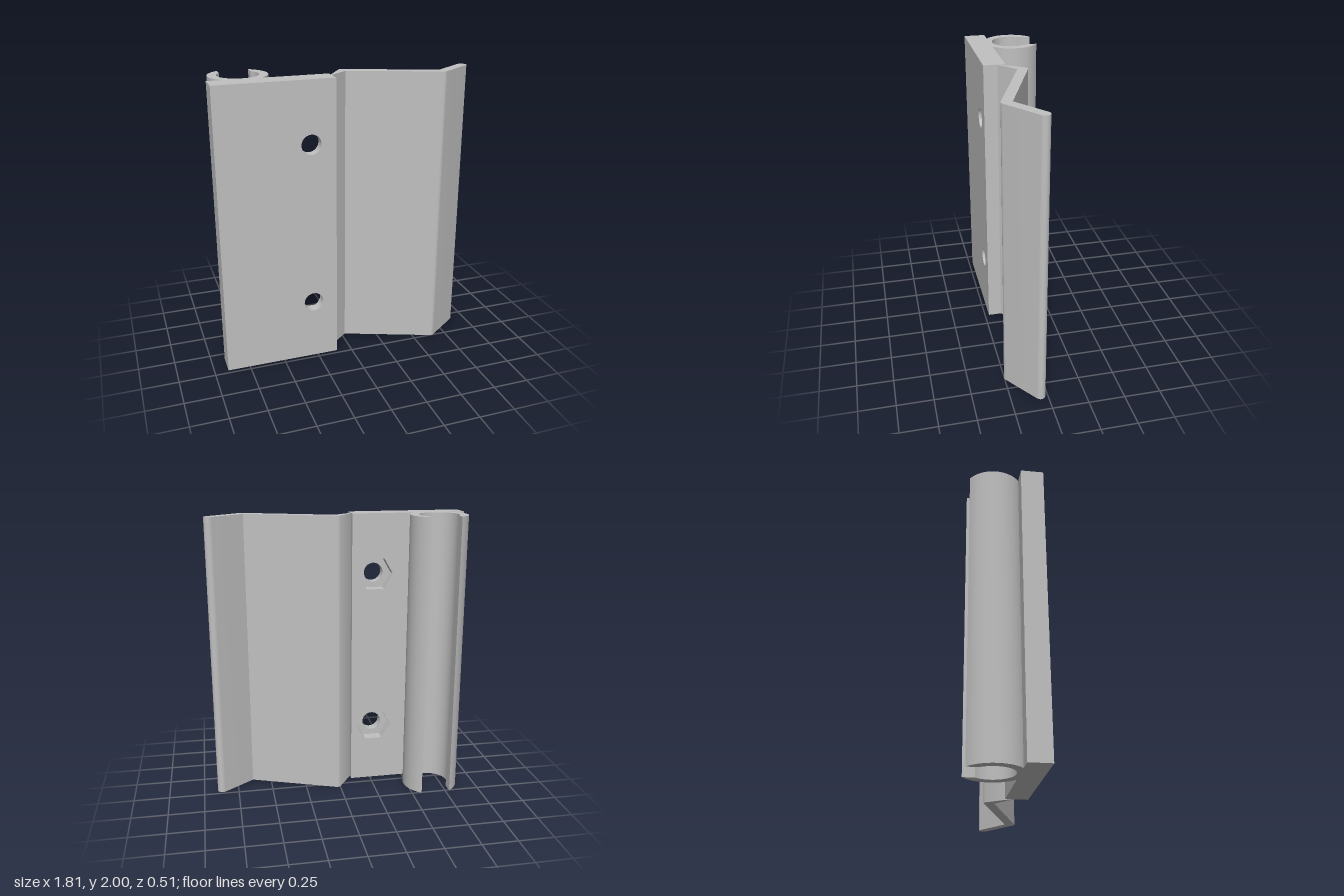
import * as THREE from 'three';
import { toCreasedNormals } from 'three/addons/utils/BufferGeometryUtils.js';

const HEIGHT = 2;
const BACK = 0.07, POCKET = 0.15, FRONT = 0.22; // plate depths along z
const HOLE_X = -0.275, HOLE_YS = [0.43, 1.575];

export function createModel() {
  const model = new THREE.Group();
  model.name = 'mountingBracket';
  const grey = new THREE.MeshStandardMaterial({ color: 0xc0c0c0 });
  grey.name = 'grey';

  const add = (name, geometry) => {
    const mesh = new THREE.Mesh(toCreasedNormals(geometry, 0.5), grey);
    mesh.name = name;
    model.add(mesh);
  };
  // Extrudes a plan outline (x, -z) up to full height
  const addProfile = (name, shape) => {
    const g = new THREE.ExtrudeGeometry(shape, { depth: HEIGHT, bevelEnabled: false, curveSegments: 32 });
    add(name, g.rotateX(-Math.PI / 2));
  };

  // Plate: front layer with round holes, back layer with hexagonal nut pockets
  const addPlateLayer = (name, z0, z1, radius, sides) => {
    const s = new THREE.Shape();
    s.moveTo(-0.905, 0).lineTo(-0.105, 0).lineTo(-0.105, HEIGHT).lineTo(-0.905, HEIGHT).closePath();
    for (const y of HOLE_YS) {
      const pts = [];
      for (let i = 0; i < sides; i++) {
        const a = -i / sides * Math.PI * 2;
        pts.push(new THREE.Vector2(HOLE_X + radius * Math.cos(a), y + radius * Math.sin(a)));
      }
      s.holes.push(new THREE.Path(pts));
    }
    const g = new THREE.ExtrudeGeometry(s, { depth: z1 - z0, bevelEnabled: false });
    add(name, g.translate(0, 0, z0));
  };
  addPlateLayer('plateFrontWithHoles', POCKET, FRONT, 0.068, 40);
  addPlateLayer('plateBackWithNutPockets', BACK, POCKET, 0.125, 6);

  // Open tube clip on the back of the plate
  const cx = -0.675, cy = 0.087, outer = 0.198, inner = 0.138, halfGap = 0.105;
  const ao = Math.acos(halfGap / outer), ai = Math.acos(halfGap / inner);
  const clip = new THREE.Shape();
  clip.absarc(cx, cy, outer, ao, Math.PI - ao, true);
  clip.absarc(cx, cy, inner, Math.PI - ai, ai, false);
  clip.closePath();
  addProfile('tubeClip', clip);

  // Bent arm of even thickness: rounded outer bends, sharp inner bends, round tip
  const r = 0.034, q = Math.PI / 2;
  const A = new THREE.Vector2(0.02, 0.02);
  const B = new THREE.Vector2(0.64, -0.218);
  const C = new THREE.Vector2(0.868, -0.05);
  const a1 = Math.atan2(0.125, 0.165);
  const a2 = B.clone().sub(A).angle() - Math.PI * 2;
  const a3 = C.clone().sub(B).angle();
  const arm = new THREE.Shape();
  const miter = (p, from, to, side) => {
    const a = (from + to) / 2 + side * q;
    const d = r / Math.cos((to - from) / 2);
    arm.lineTo(p.x + d * Math.cos(a), p.y + d * Math.sin(a));
  };
  arm.moveTo(-0.145, -BACK);
  arm.absarc(A.x, A.y, r, a1 + q, a2 + q, true);
  miter(B, a2, a3, 1);
  arm.absarc(C.x, C.y, r, a3 + q, a3 - q, true);
  arm.absarc(B.x, B.y, r, a3 - q, a2 - q, true);
  miter(A, a1, a2, -1);
  arm.lineTo(-0.105, -0.125).lineTo(-0.115, -0.125).closePath();
  addProfile('bentArm', arm);

  return model;
}
